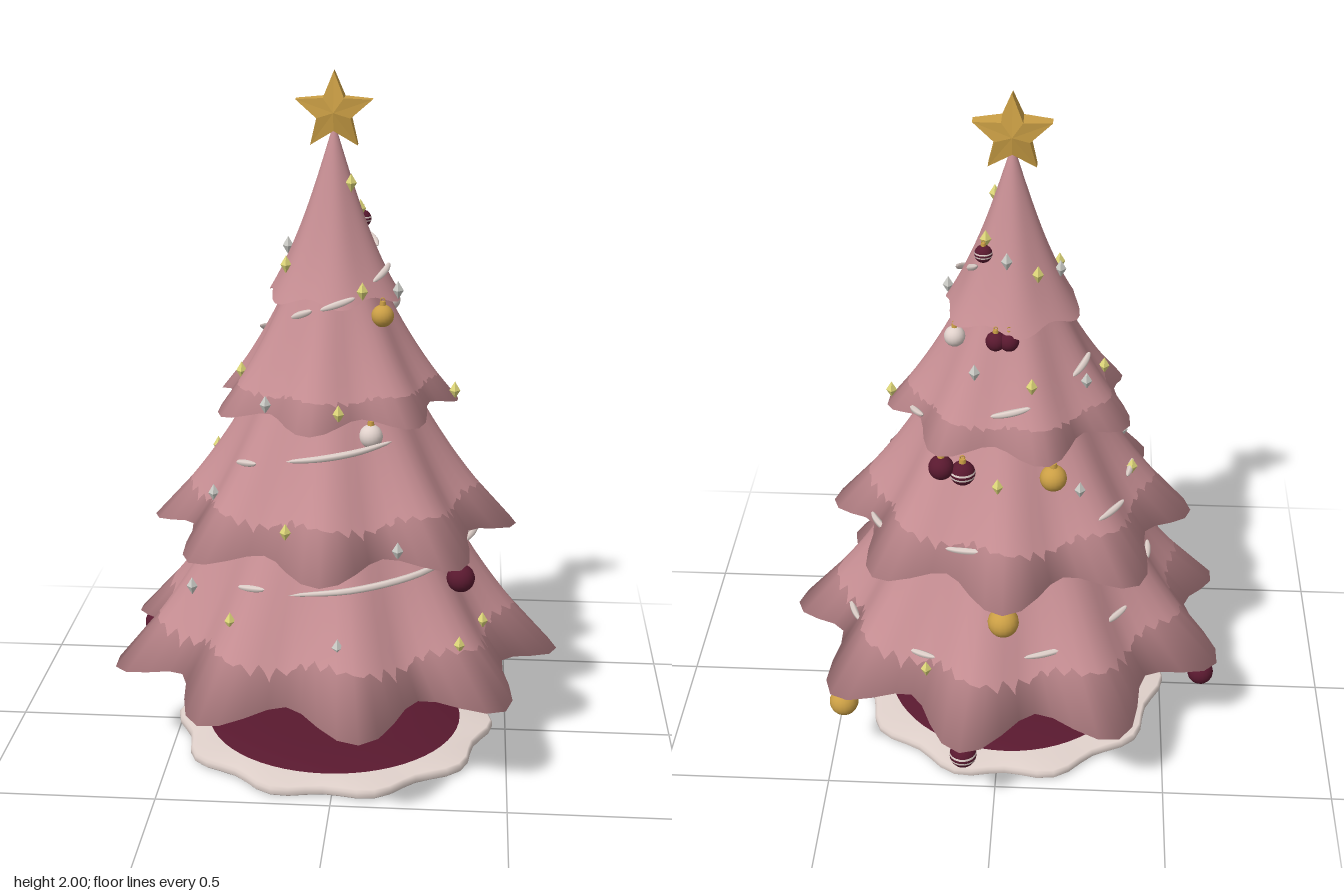
import * as THREE from 'three';

const mat = (name, color) => {
  const m = new THREE.MeshStandardMaterial({ color });
  m.name = name;
  return m;
};

const AXIS = -0.025; // x of the trunk line
const TAU = Math.PI * 2;

// Skirted tiers of foliage: lobe count, lobe phase, top and bottom height and radius
const TIERS = [
  { n: 9, phase: 0, yTop: 0.95, yBot: 0.28, r0: 0.22, r1: 0.605, amp: 0.11, lift: 0.04 },
  { n: 8, phase: 0, yTop: 1.3, yBot: 0.68, r0: 0.13, r1: 0.485, amp: 0.11, lift: 0.035 },
  { n: 7, phase: -0.09, yTop: 1.6, yBot: 1.05, r0: 0.05, r1: 0.33, amp: 0.1, lift: 0.03 },
  { n: 6, phase: 0.35, yTop: 1.84, yBot: 1.365, r0: 0.006, r1: 0.188, amp: 0.06, lift: 0.025 },
];

// Point on a tier: v = 0 at its top, v = 1 at the wavy rim
function tierPoint(t, a, v) {
  const wave = Math.cos(t.n * (a - t.phase));
  const r = (t.r0 + (t.r1 - t.r0) * (0.8 * v + 0.2 * v ** 3)) * (1 + t.amp * wave * v ** 1.3);
  const y = t.yTop + (t.yBot - t.yTop) * v + t.lift * 0.5 * (1 - wave) * v ** 4;
  return [r, y];
}

// Lining: a band just inside the rim, softly rolling into a nearly flat underside
function liningPoint(t, a, v) {
  const [r, y] = tierPoint(t, a, 1);
  if (v === 0) {
    const [s, h] = tierPoint(t, a, 0.6);
    return [s - 0.02, h];
  }
  const k = (v - 1 / 3) * 1.5;
  return [r + (0.03 - r) * k, y + (t.yBot + 0.07 - y) * k];
}

// Closed loops of [radius, height] around the axis
function loft(point, around, steps) {
  const pos = [], idx = [];
  for (let j = 0; j <= steps; j++) {
    for (let i = 0; i < around; i++) {
      const a = (i / around) * TAU;
      const [r, y] = point(a, j / steps);
      pos.push(r * Math.cos(a), y, r * Math.sin(a));
      if (j === steps) continue;
      const k = (i + 1) % around, p = j * around, q = p + around;
      idx.push(p + i, p + k, q + i, p + k, q + k, q + i);
    }
  }
  const g = new THREE.BufferGeometry();
  g.setAttribute('position', new THREE.Float32BufferAttribute(pos, 3));
  g.setIndex(idx);
  g.computeVertexNormals();
  return g;
}

// Outermost foliage radius at an angle and height
function radiusAt(a, y) {
  let best = 0;
  for (const t of TIERS) {
    for (let v = 0; v <= 1; v += 0.01) {
      const [r, h] = tierPoint(t, a, v);
      if (Math.abs(h - y) < 0.006) best = Math.max(best, r);
    }
  }
  return best;
}

// Highest foliage height above a ground position
function heightAt(x, z) {
  const a = Math.atan2(z, x - AXIS), d = Math.hypot(x - AXIS, z);
  let best = 0.4;
  for (const t of TIERS) {
    for (let v = 0; v <= 1; v += 0.01) {
      const [r, h] = tierPoint(t, a, v);
      if (Math.abs(r - d) < 0.005) best = Math.max(best, h);
    }
  }
  return best;
}

// Five-pointed star, thick in the middle and thinner at the tips
function starGeometry() {
  const pos = [], ring = [];
  for (let i = 0; i < 10; i++) {
    const a = Math.PI / 2 + (i * TAU) / 10, r = i % 2 ? 0.05 : 0.113;
    ring.push([r * Math.cos(a), r * Math.sin(a), i % 2 ? 0.032 : 0.017]);
  }
  const back = (p) => [p[0], p[1], -p[2]];
  for (let i = 0; i < 10; i++) {
    const p = ring[i], q = ring[(i + 1) % 10];
    pos.push(0, 0, 0.038, ...p, ...q);
    pos.push(0, 0, -0.038, ...back(q), ...back(p));
    pos.push(...p, ...back(p), ...q, ...q, ...back(p), ...back(q));
  }
  const g = new THREE.BufferGeometry();
  g.setAttribute('position', new THREE.Float32BufferAttribute(pos, 3));
  g.computeVertexNormals();
  return g;
}

export function createModel() {
  const root = new THREE.Group();
  root.name = 'decoratedTree';
  const pink = mat('foliagePink', 0xc58d92), gold = mat('gold', 0xcb9f45);
  const wine = mat('burgundy', 0x59192f), white = mat('warmWhite', 0xe0d1cb);
  const brown = mat('bark', 0x6f452c), silver = mat('silver', 0xcbcbc6);
  const lime = mat('paleYellow', 0xe0d87a);

  const add = (name, geo, material, x = AXIS, y = 0, z = 0, parent = root) => {
    const m = new THREE.Mesh(geo, material);
    m.name = name;
    m.position.set(x, y, z);
    parent.add(m);
    return m;
  };

  // Trunk and ground skirt
  add('trunk', new THREE.CylinderGeometry(0.045, 0.056, 0.4, 16), brown, AXIS, 0.2, 0);
  const disc = [[0, 0.004], [0.392, 0.004], [0.392, 0.036], [0.22, 0.048], [0, 0.05]];
  add('skirt', new THREE.LatheGeometry(disc.map((p) => new THREE.Vector2(...p)), 48), wine);
  const trim = [[0.385, 0.038], [0.46, 0.031], [0.467, 0.024], [0.467, 0.009], [0.462, 0.004], [0.385, 0.002]];
  add('skirtTrim', loft((a, v) => {
    const [r, y] = trim[Math.round(v * 5)];
    return [r > 0.4 ? r + 0.018 * Math.cos(10 * a) : r, y];
  }, 60, 5), white);

  // Foliage tiers with their undersides
  TIERS.forEach((t, i) => {
    add(`foliageTier${i + 1}`, loft((a, v) => tierPoint(t, a, v), t.n * 8, 16), pink);
    add(`foliageLining${i + 1}`, loft((a, v) => liningPoint(t, a, v), t.n * 8, 3), pink);
  });

  add('star', starGeometry(), gold, AXIS, 1.887, 0);

  // Hanging balls: x, y, z, radius, colour, striped
  const balls = [
    [-0.61, 0.23, -0.21, 0.039, wine], [0.085, 0.23, -0.61, 0.039, wine, true],
    [0.455, 0.23, -0.4, 0.043, gold], [0.355, 0.632, 0.318, 0.04, wine],
    [-0.025, 0.625, -0.495, 0.044, gold], [0.17, 0.66, -0.265, 0.034, white],
    [0.31, 0.645, -0.105, 0.04, wine], [0.095, 1.015, 0.23, 0.034, white],
    [0.1, 0.98, -0.28, 0.036, wine, true], [0.16, 1.0, -0.285, 0.036, wine],
    [-0.155, 0.995, -0.315, 0.038, gold], [0.012, 1.35, -0.18, 0.028, wine],
    [-0.025, 1.35, -0.18, 0.028, wine], [0.13, 1.325, -0.112, 0.03, white],
    [0.12, 1.335, 0.12, 0.032, gold], [0.05, 1.57, -0.088, 0.025, wine, true],
  ];
  for (const [x, y, z, r, material, striped] of balls) {
    const ball = new THREE.Group();
    ball.name = 'hangingBall';
    ball.position.set(x, y, z);
    root.add(ball);
    add('ball', new THREE.SphereGeometry(r, 18, 12), material, 0, 0, 0, ball);
    add('ballCap', new THREE.CylinderGeometry(r * 0.25, r * 0.3, r * 0.4, 8), gold, 0, r * 1.1, 0, ball);
    add('ballLoop', new THREE.TorusGeometry(r * 0.18, r * 0.05, 5, 10), gold, 0, r * 1.42, 0, ball);
    if (striped) {
      for (const a of [1.27, 1.65]) {
        add('ballStripe', new THREE.SphereGeometry(r * 1.02, 18, 2, 0, TAU, a, 0.17), white, 0, 0, 0, ball);
      }
    }
  }

  // Small diamond lights resting on the foliage
  const diamond = new THREE.OctahedronGeometry(1, 0).scale(0.016, 0.027, 0.016);
  const light = (x, z, material, y = heightAt(x, z) + 0.015) => add('diamondLight', diamond, material, x, y, z);
  [[0.2, -0.46], [0, -0.32], [-0.09, -0.23], [-0.1, -0.1], [-0.38, -0.07], [-0.29, 0.05], [-0.155, 0.08],
    [0.025, 0.035], [0.065, 0.155], [0.01, 0.31], [-0.13, 0.4], [0.42, 0.16], [0.325, -0.01], [0.045, -0.065],
  ].forEach(([x, z]) => light(x, z, lime));
  [[-0.23, -0.27], [0.07, -0.2], [-0.24, -0.13], [-0.015, -0.11], [-0.16, -0.03], [0.16, 0.06],
    [-0.355, 0.21], [-0.2, 0.24], [0.18, 0.39],
  ].forEach(([x, z]) => light(x, z, silver));
  light(0.02, 0.48, silver, 0.48);
  light(-0.42, 0.24, silver, 0.55);
  light(-0.29, 0.39, lime, 0.51);
  light(0.355, 0.36, lime, 0.445);

  // Garland: visible stretches of one rising spiral, in turns; a third value spans a fold at that radius
  const stretches = [
    [0.03, 0.075], [0.15, 0.18], [0.27, 0.315], [0.365, 0.4], [0.475, 0.51], [0.65, 0.685],
    [0.717, 0.908, 0.455], [0.93, 0.975, 0.43], [1.05, 1.1], [1.18, 1.23], [1.365, 1.41], [1.45, 1.485],
    [1.61, 1.65], [1.69, 1.85, 0.31], [1.93, 1.97], [2.05, 2.1], [2.22, 2.29], [2.39, 2.46], [2.63, 2.7],
    [2.73, 2.81], [2.88, 2.97], [3.05, 3.12],
  ];
  const heightOf = (t) => 0.37 + 0.345 * t + 0.075 * Math.max(0, t - 2);
  for (const [t0, t1, span] of stretches) {
    const mid = (t0 + t1) / 2;
    const r = span ?? radiusAt(-mid * TAU, heightOf(mid)) + 0.006;
    const curve = new THREE.CatmullRomCurve3([0, 0.33, 0.67, 1].map((k) => {
      const t = t0 + (t1 - t0) * k;
      return new THREE.Vector3(r * Math.cos(-t * TAU), heightOf(t), r * Math.sin(-t * TAU));
    }));
    const steps = 16, sides = 6;
    const g = new THREE.TubeGeometry(curve, steps, 0.01, sides);
    const p = g.attributes.position, v = new THREE.Vector3();
    for (let i = 0; i < p.count; i++) {
      const u = Math.floor(i / (sides + 1)) / steps, c = curve.getPointAt(u);
      v.fromBufferAttribute(p, i).sub(c).multiplyScalar(Math.max(0, Math.sin(Math.PI * u)) ** 0.4).add(c);
      p.setXYZ(i, v.x, v.y, v.z);
    }
    add('garland', g, white);
  }
  return root;
}
